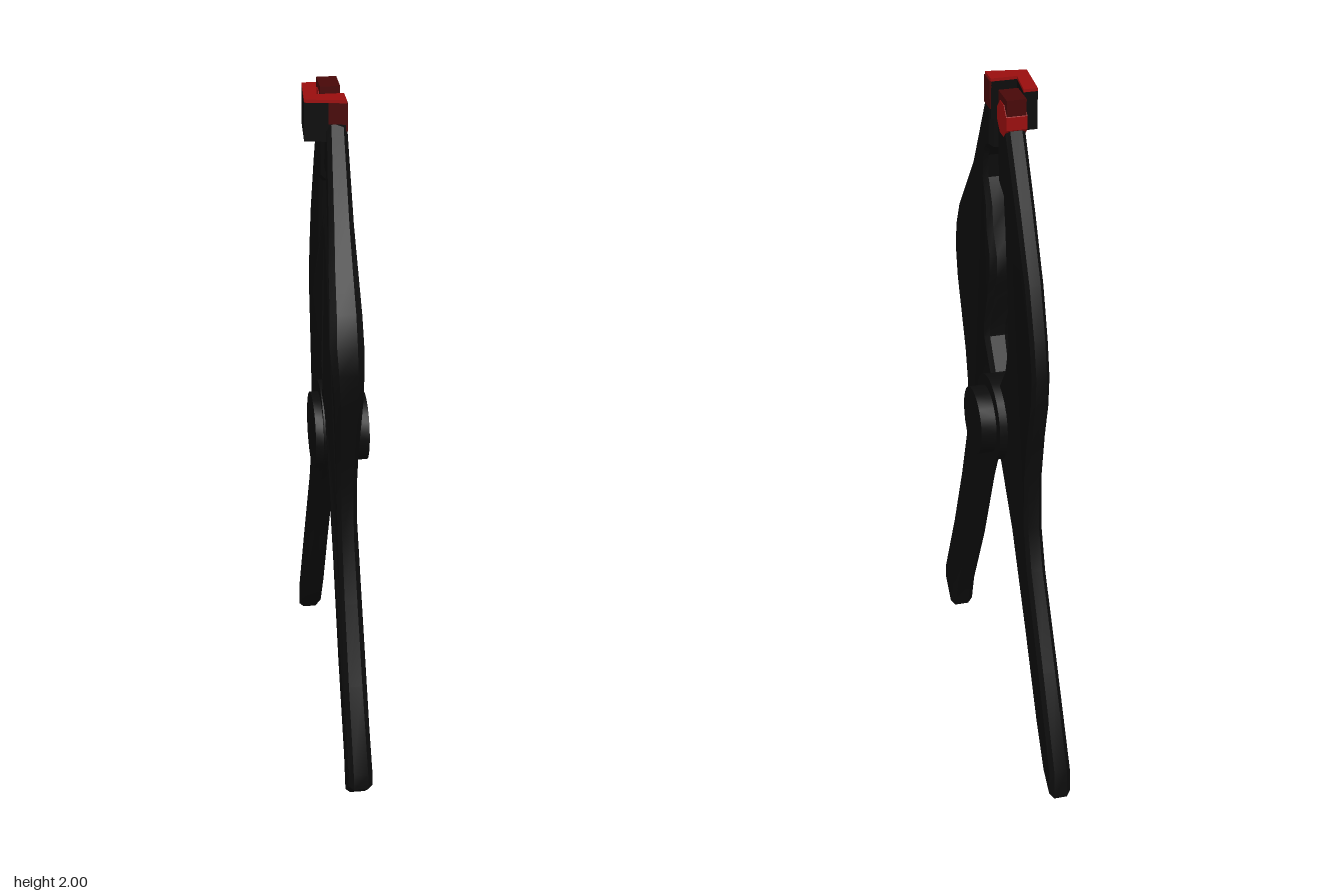
import * as THREE from 'three';
import { toCreasedNormals } from 'three/addons/utils/BufferGeometryUtils.js';

const mat = (name, color) => {
  const m = new THREE.MeshStandardMaterial({ color });
  m.name = name;
  return m;
};

// Piecewise-linear lookup over [y, xMin, xMax] rows
function widthAt(rows, y) {
  let i = 0;
  while (i < rows.length - 2 && y > rows[i + 1][0]) i++;
  const [a, b] = [rows[i], rows[i + 1]];
  const t = THREE.MathUtils.clamp((y - a[0]) / (b[0] - a[0]), 0, 1);
  return [1, 2].map((k) => THREE.MathUtils.lerp(a[k], b[k], t));
}

// Bevelled plate from a (z, y) outline, with thickness in x varying along y
function armGeometry(outline, rows) {
  const shape = new THREE.Shape(outline.map(([z, y]) => new THREE.Vector2(z, y)));
  const bevel = 0.012;
  const geo = new THREE.ExtrudeGeometry(shape, {
    depth: 1 - 0.4, bevelEnabled: true, bevelThickness: 0.2,
    bevelSize: bevel, bevelOffset: -bevel, bevelSegments: 1,
  });
  geo.translate(0, 0, 0.2 - 1).rotateY(-Math.PI / 2);
  const p = geo.attributes.position;
  for (let i = 0; i < p.count; i++) {
    const [lo, hi] = widthAt(rows, p.getY(i));
    p.setX(i, THREE.MathUtils.lerp(lo, hi, p.getX(i)));
  }
  return toCreasedNormals(geo, 0.5);
}

const frontOutline = [
  [0.12, 1.93], [0.135, 1.9], [0.247, 1.69], [0.33, 1.585], [0.405, 1.49], [0.44, 1.41],
  [0.453, 1.33], [0.435, 1.23], [0.353, 1.025], [0.328, 0.92], [0.33, 0.77], [0.39, 0.575],
  [0.475, 0.35], [0.58, 0.114], [0.58, 0.066], [0.496, 0], [0.459, 0.11], [0.326, 0.36],
  [0.204, 0.64], [0.098, 0.84], [0, 0.84], [-0.05, 0.95], [-0.03, 1.07], [0.045, 1.095],
  [0.11, 1.18], [0.11, 1.22], [0.07, 1.32], [0.066, 1.35], [0.045, 1.4], [0.045, 1.47],
  [0.08, 1.535], [0.09, 1.61], [0.125, 1.68], [0.12, 1.75], [0.098, 1.78], [0.066, 1.795],
  [0.066, 1.93],
];
const backOutline = [
  [-0.08, 1.93], [-0.095, 1.9], [-0.2, 1.715], [-0.295, 1.53], [-0.347, 1.385], [-0.37, 1.28],
  [-0.363, 1.185], [-0.32, 1.035], [-0.295, 0.92], [-0.29, 0.76], [-0.326, 0.63],
  [-0.453, 0.36], [-0.575, 0.09], [-0.575, 0], [-0.55, 0.01], [-0.496, 0.05],
  [-0.416, 0.178], [-0.294, 0.416], [-0.15, 0.676], [-0.03, 0.835], [0.04, 0.86],
  [0.06, 0.95], [0.05, 1.05], [-0.02, 1.095], [-0.08, 1.17], [-0.11, 1.265],
  [-0.103, 1.4], [-0.077, 1.61], [-0.06, 1.7], [-0.01, 1.725], [0, 1.89], [-0.01, 1.93],
];
const frontWidths = [
  [0, -0.03, 0.042], [0.85, -0.03, 0.025], [1.1, -0.04, 0.026], [1.4, -0.067, 0.028],
  [1.55, -0.058, 0.026], [1.75, -0.038, 0.024], [2, -0.032, 0.022],
];
const backWidths = [
  [0, -0.042, 0.022], [0.85, -0.032, 0.02], [1.1, -0.028, 0.022], [1.4, -0.03, 0.022], [2, -0.038, 0.02],
];

export function createModel() {
  const black = mat('black plastic', 0x0c0c0c);
  const red = mat('red pad', 0x9a0e0e);
  const darkRed = mat('worn red', 0x480808);
  const group = new THREE.Group();
  const add = (name, geo, material, x = 0, y = 0, z = 0) => {
    const m = new THREE.Mesh(geo, material);
    m.name = name;
    m.position.set(x, y, z);
    group.add(m);
    return m;
  };

  // Two lever arms meeting at the pivot
  add('frontArm', armGeometry(frontOutline, frontWidths), black);
  add('backArm', armGeometry(backOutline, backWidths), black);

  // Pivot: hub between the arms, with a knob on each side
  const disc = (name, r, x0, x1, y, z) => {
    const geo = new THREE.CylinderGeometry(r, r, x1 - x0, 24).rotateZ(Math.PI / 2);
    add(name, toCreasedNormals(geo, 0.6), black, (x0 + x1) / 2, y, z);
  };
  disc('pivotHub', 0.128, -0.045, 0.045, 0.97, 0.01);
  disc('rightPivotKnob', 0.112, -0.068, -0.04, 0.955, 0.02);
  disc('leftPivotKnob', 0.1, 0.04, 0.09, 0.96, 0.02);

  // Hooked front jaw: black body with a red top
  const hook = new THREE.Shape([
    [0.02, -0.125], [-0.095, -0.105], [-0.085, 0.037], [-0.045, 0.037],
    [-0.055, -0.065], [0.02, -0.065],
  ].map(([x, y]) => new THREE.Vector2(x, y)));
  const hookGeo = (depth) =>
    new THREE.ExtrudeGeometry(hook, { depth, bevelEnabled: false }).rotateX(-Math.PI / 2);
  add('frontJaw', hookGeo(0.111), black, 0, 1.88, 0);
  add('frontJawPad', hookGeo(0.009), red, 0, 1.991, 0);
  add('frontJawEnd', new THREE.BoxGeometry(0.006, 0.08, 0.06), darkRed, 0.02, 1.951, 0.095);
  const facePlate = add('frontJawFace', new THREE.BoxGeometry(0.05, 0.06, 0.006), darkRed, -0.005, 1.961, 0.121);
  facePlate.rotation.y = -0.172;

  // Rounded red pad on the back jaw
  const padGeo = new THREE.CylinderGeometry(0.05, 0.05, 0.06, 8).rotateX(Math.PI / 2)
    .rotateZ(Math.PI / 8).rotateY(Math.PI / 2);
  add('backJawPad', toCreasedNormals(padGeo, 0.3), red, -0.009, 1.927, -0.05);
  add('backJawTip', new THREE.BoxGeometry(0.056, 0.06, 0.085), darkRed, -0.009, 1.965, -0.052);
  return group;
}
